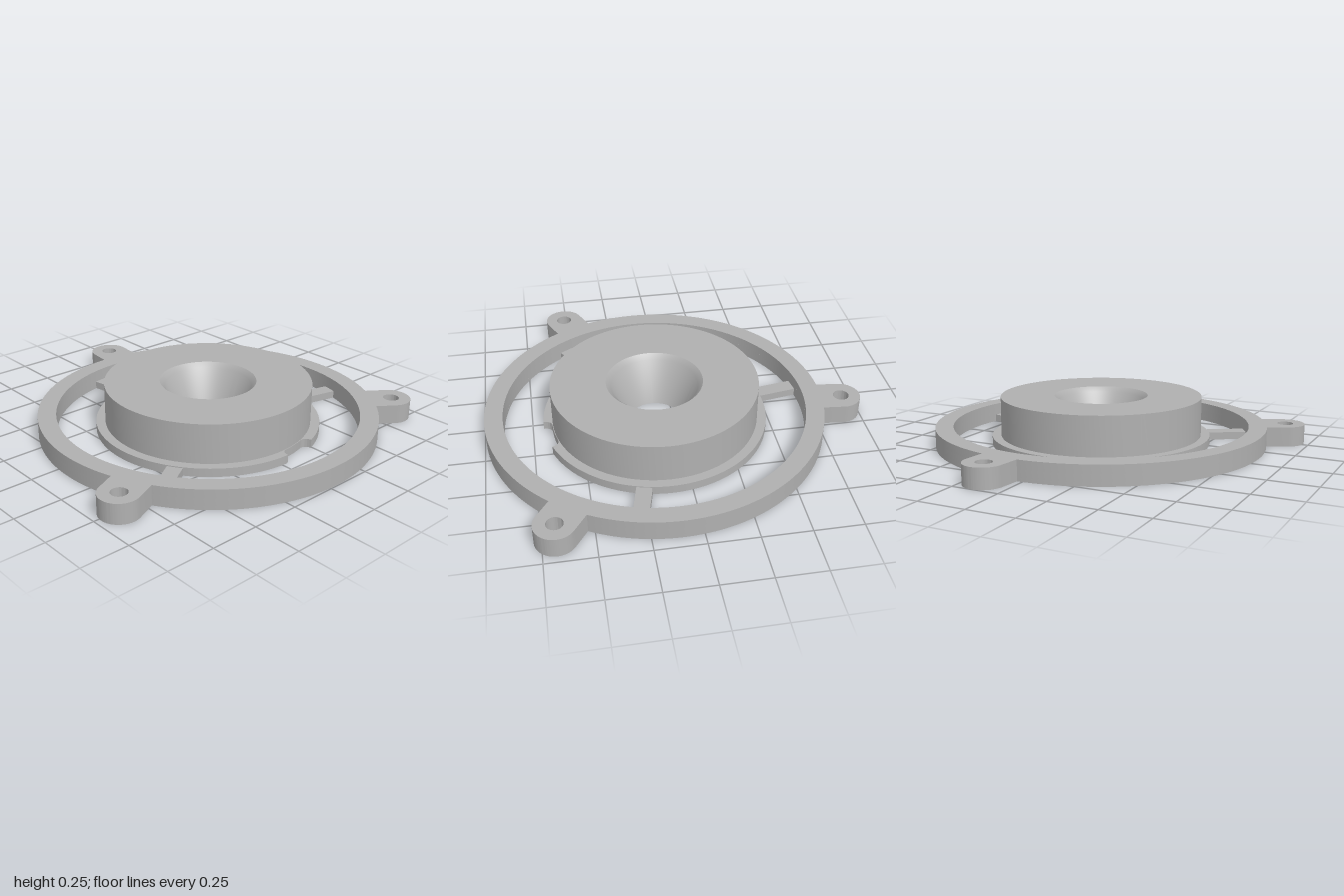
import * as THREE from 'three';
import { toCreasedNormals } from 'three/addons/utils/BufferGeometryUtils.js';

const rad = THREE.MathUtils.degToRad;
const FULL = Math.PI * 2;

export function createModel() {
  const model = new THREE.Group();
  model.name = 'mountingRing';
  model.position.set(0.045, 0, 0.1);
  const grey = new THREE.MeshStandardMaterial({ color: 0xb0b0b0 });
  grey.name = 'grey';

  const add = (name, geometry, angle = 0) => {
    const mesh = new THREE.Mesh(toCreasedNormals(geometry, 0.5), grey);
    mesh.name = name;
    mesh.rotation.y = rad(angle);
    model.add(mesh);
    return mesh;
  };
  // Extrude a plan shape upwards from y0 to y1
  const slab = (shape, y0, y1) =>
    new THREE.ExtrudeGeometry(shape, { depth: y1 - y0, bevelEnabled: false, curveSegments: 96 })
      .rotateX(-Math.PI / 2).translate(0, y0, 0);
  const circle = (r, x = 0) => new THREE.Path().absarc(x, 0, r, 0, FULL, true);
  const disc = (r) => new THREE.Shape().absarc(0, 0, r, 0, FULL, false);

  // Outer ring, with a shallow slot in its inner wall facing the flange notch
  const ring = disc(0.896);
  ring.holes.push(circle(0.8));
  const slotted = disc(0.896);
  const slotHole = new THREE.Path();
  slotHole.absarc(0, 0, 0.8, rad(285), rad(274 + 360), false);
  slotHole.absarc(0, 0, 0.82, rad(274), rad(285), false);
  slotHole.closePath();
  slotted.holes.push(slotHole);
  add('ringBottom', slab(ring, 0, 0.02));
  add('ringSlotted', slab(slotted, 0.02, 0.06));
  add('ringTop', slab(ring, 0.06, 0.105));

  // Three screw lugs
  for (const angle of [84.5, 204.5, 324.5]) {
    const lug = new THREE.Shape();
    lug.moveTo(0.86, -0.103);
    lug.lineTo(1.003, -0.103);
    lug.absarc(1.003, 0, 0.103, -Math.PI / 2, Math.PI / 2, false);
    lug.lineTo(0.86, 0.103);
    lug.closePath();
    lug.holes.push(circle(0.042, 1.003));
    add('lug', slab(lug, 0, 0.105), angle);
  }

  // Thin spokes joining flange and ring
  for (const angle of [99, 212, 346.5]) {
    add('spoke', new THREE.BoxGeometry(0.26, 0.04, 0.08).translate(0.69, 0.02, 0), angle);
  }

  // Flange with a rounded notch in its rim
  const polar = (r, a) => [r * Math.cos(rad(a)), r * Math.sin(rad(a))];
  const flange = new THREE.Shape();
  flange.absarc(0, 0, 0.593, rad(289.7), rad(269 + 360), false);
  flange.quadraticCurveTo(...polar(0.55, 269), ...polar(0.548, 272.5));
  flange.absarc(0, 0, 0.548, rad(272.5), rad(286.2), false);
  flange.quadraticCurveTo(...polar(0.55, 289.7), ...polar(0.593, 289.7));
  flange.holes.push(circle(0.3));
  add('flange', slab(flange, 0, 0.045));

  // Hub with a tapered, chamfered bore
  const profile = [
    [0.138, 0], [0.3, 0], [0.3, 0.045], [0.545, 0.045],
    [0.545, 0.255], [0.254, 0.255], [0.228, 0.23], [0.138, 0],
  ].map(([r, y]) => new THREE.Vector2(r, y));
  add('hub', new THREE.LatheGeometry(profile, 96));

  return model;
}
